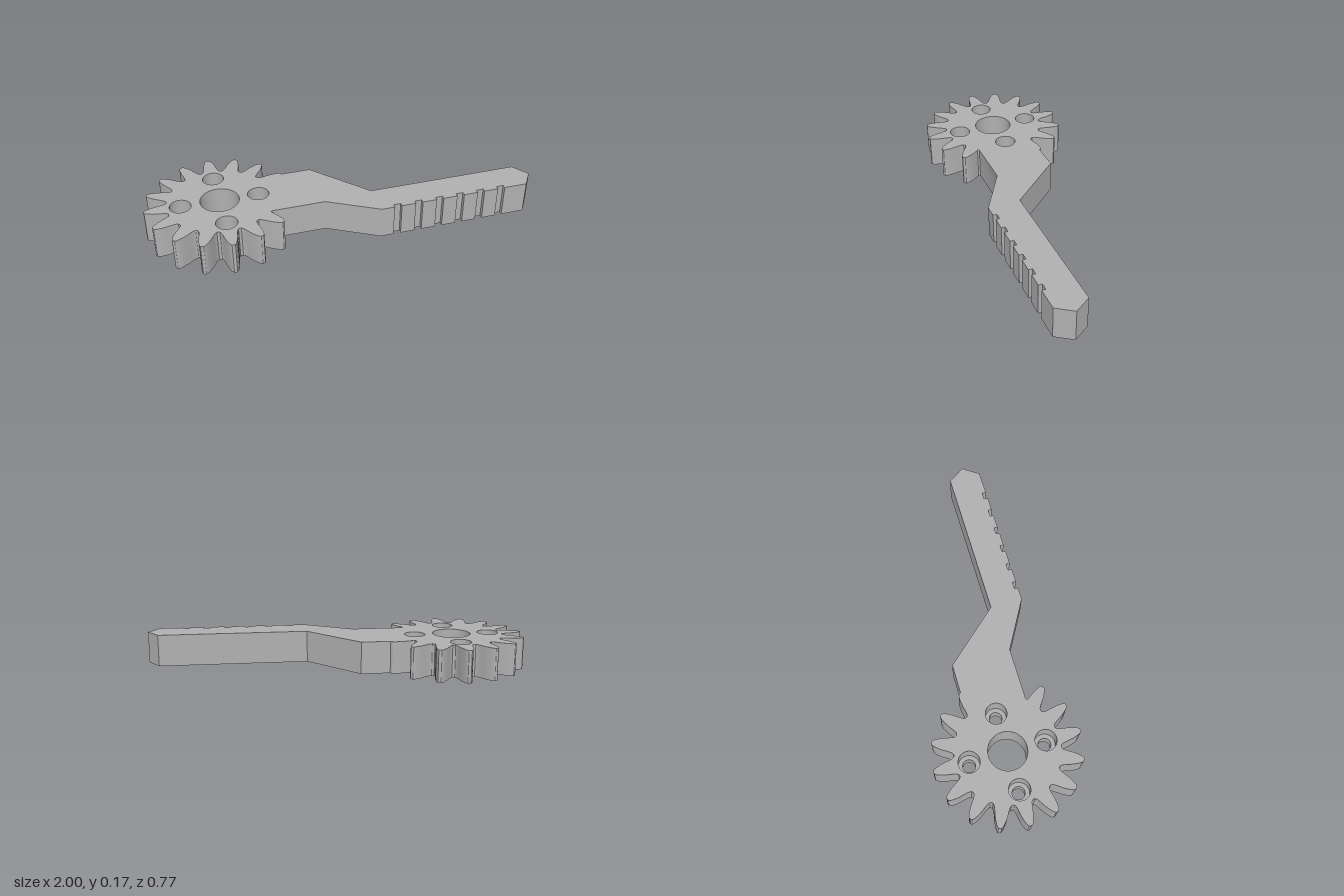
import * as THREE from 'three';
import { toCreasedNormals } from 'three/addons/utils/BufferGeometryUtils.js';

const HEIGHT = 0.17, GEAR_X = -0.62, TEETH = 16;

// Half a tooth: degrees from its centre line, radius
const FLANK = [[0, 0.383], [1.2, 0.381], [2.4, 0.373], [3.5, 0.357], [4.6, 0.34], [5.6, 0.322],
  [6.5, 0.303], [7.4, 0.289], [8.4, 0.277], [9.7, 0.27], [11.25, 0.268]];

function circle(x, y, r) {
  return new THREE.Path().absarc(x, y, r, 0, Math.PI * 2, true);
}

// Extrude a plan shape (x, -z) upwards from y = 0
function plate(shape, depth) {
  const g = new THREE.ExtrudeGeometry(shape, { depth, bevelEnabled: false, curveSegments: 24 });
  g.rotateX(-Math.PI / 2);
  return toCreasedNormals(g, 0.55);
}

// Gear rim, running anticlockwise from the upper to the lower arm joint
function gearRim() {
  const points = [];
  const tooth = [...FLANK.slice(1, -1).reverse().map(([a, r]) => [-a, r]), ...FLANK];
  for (let i = 1; i < TEETH - 1; i++) {
    for (const [offset, r] of tooth) {
      const deg = i * 360 / TEETH + offset;
      if (deg < 22.5 || deg > 322.5) continue;
      const a = THREE.MathUtils.degToRad(deg);
      points.push(new THREE.Vector2(GEAR_X + r * Math.cos(a), r * Math.sin(a)));
    }
  }
  return points;
}

export function createModel() {
  const model = new THREE.Group();
  model.name = 'gearWithRackArm';
  const grey = new THREE.MeshStandardMaterial({ color: 0xb0b0b0 });
  grey.name = 'grey';

  // Gear and cranked arm share one outline
  const outline = gearRim();
  const add = (x, y) => outline.push(new THREE.Vector2(x, y));
  add(-0.387, -0.167);
  add(-0.11, -0.167);
  add(0.145, -0.312);
  // Six square notches along the arm edge
  for (let i = 0; i < 6; i++) {
    const x = 0.213 + i * 0.1135;
    add(x, -0.312);
    add(x, -0.292);
    add(x + 0.038, -0.292);
    add(x + 0.038, -0.312);
  }
  add(0.942, -0.312);
  add(1, -0.227);
  add(0.942, -0.141);
  add(0.145, -0.141);
  add(-0.11, 0.143);
  add(-0.263, 0.143);

  const body = new THREE.Shape(outline);
  body.holes.push(circle(GEAR_X, 0, 0.1));

  // Four counterbored holes, narrowed at the bottom by a ring
  for (let i = 0; i < 4; i++) {
    const a = i * Math.PI / 2;
    const x = GEAR_X + 0.2 * Math.cos(a), y = 0.2 * Math.sin(a);
    body.holes.push(circle(x, y, 0.055));
    const ring = new THREE.Shape().absarc(x, y, 0.055, 0, Math.PI * 2, false);
    ring.holes.push(circle(x, y, 0.033));
    const mesh = new THREE.Mesh(plate(ring, 0.07), grey);
    mesh.name = 'screwSeat' + (i + 1);
    model.add(mesh);
  }

  const mesh = new THREE.Mesh(plate(body, HEIGHT), grey);
  mesh.name = 'gearAndArm';
  model.add(mesh);
  return model;
}
